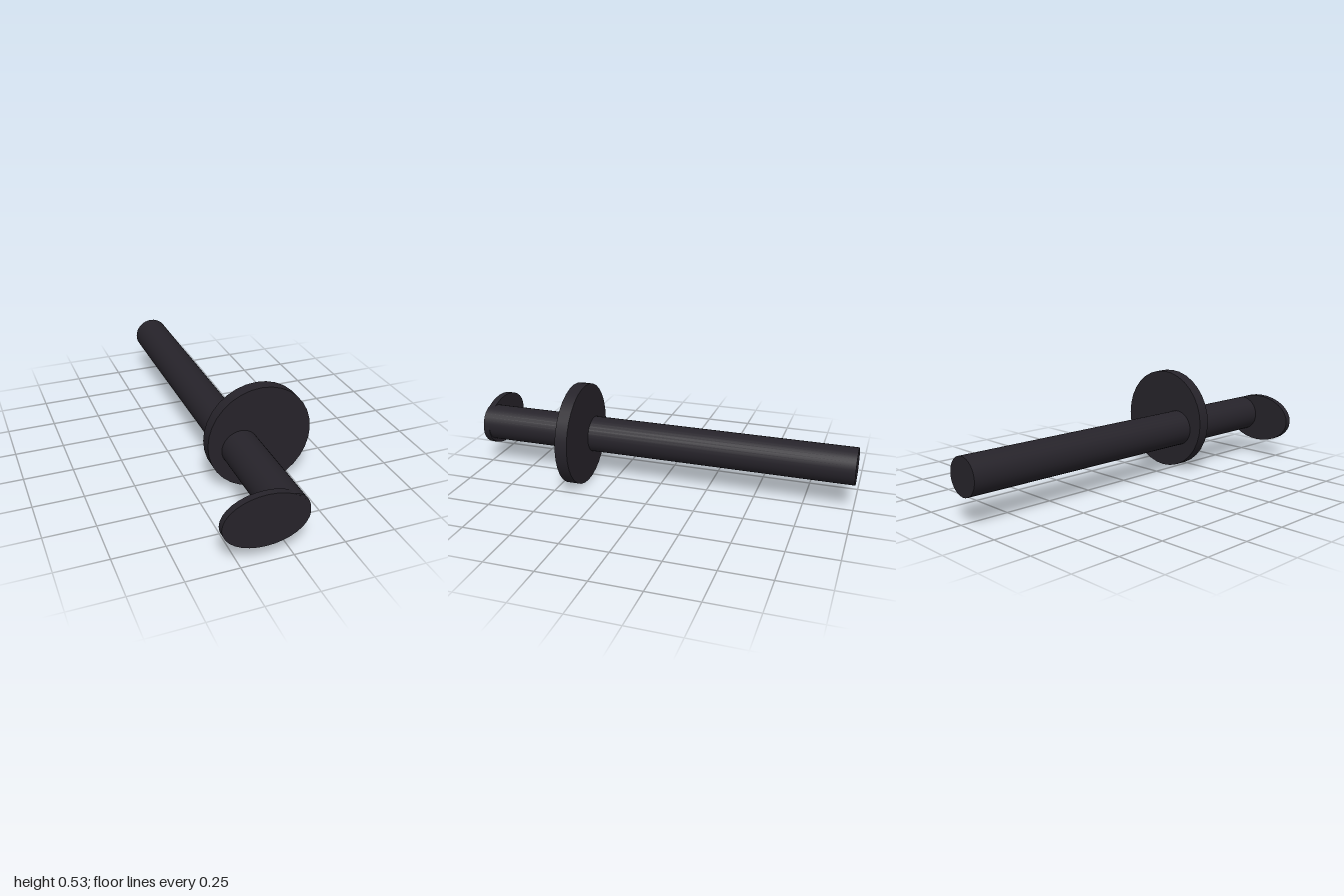
import * as THREE from 'three';

export function createModel() {
  const group = new THREE.Group();
  const material = new THREE.MeshStandardMaterial({ color: 0x26232a });

  // Closed cylinder lying along z, from z0 to z1, with an elliptical section
  function rod(name, x, y, rx, ry, z0, z1) {
    const geometry = new THREE.CylinderGeometry(1, 1, z1 - z0, 32);
    geometry.rotateX(Math.PI / 2);
    geometry.scale(rx, ry, 1);
    const mesh = new THREE.Mesh(geometry, material);
    mesh.name = name;
    mesh.position.set(x, y, (z0 + z1) / 2);
    group.add(mesh);
  }

  // Long round shaft
  rod('shaft', -0.027, 0.228, 0.094, 0.094, -1, 0.999);
  // Off-centre round collar
  rod('collarDisc', 0.073, 0.265, 0.264, 0.265, 0.383, 0.447);
  // Thin oval plate at the front end
  rod('ovalEndPlate', -0.135, 0.215, 0.203, 0.131, 0.966, 1);

  return group;
}
